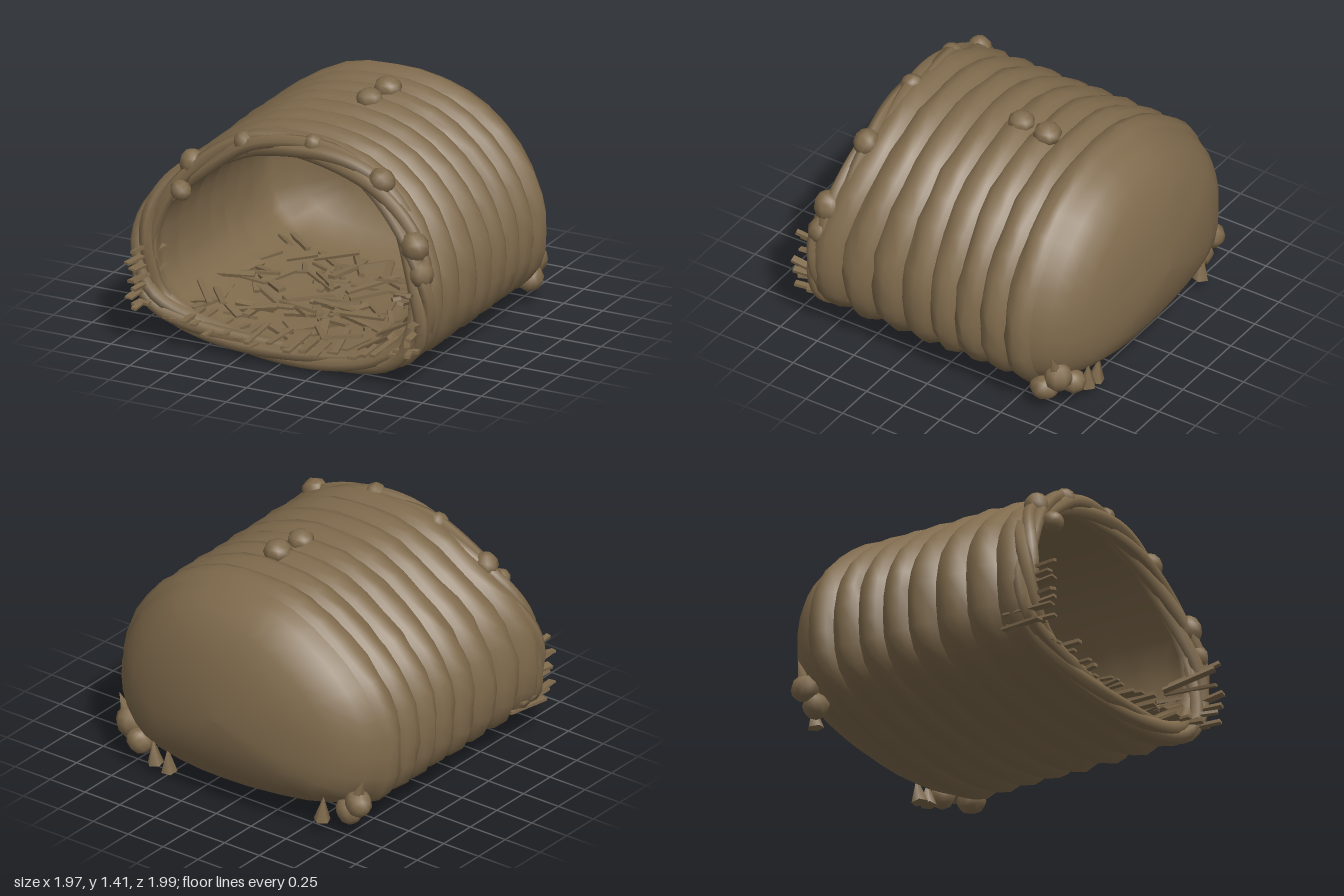
import * as THREE from 'three';

const brown = new THREE.MeshStandardMaterial({ color: 0x7f6a4c });
brown.name = 'dry brown';
brown.side = THREE.DoubleSide;

// Small seeded random
let seed = 7;
const rnd = (a = 0, b = 1) => {
  seed = (seed * 16807) % 2147483647;
  return a + (b - a) * (seed / 2147483647);
};

// Cross-section of the basket, counterclockwise from the front
const CY = 0.6, N = 36;
const outline = new THREE.CatmullRomCurve3([
  [0.98, 0.5], [0.95, 0.72], [0.82, 0.98], [0.58, 1.21], [0.3, 1.33], [0, 1.36], [-0.3, 1.32],
  [-0.6, 1.15], [-0.82, 0.96], [-0.94, 0.75], [-0.97, 0.5], [-0.91, 0.26], [-0.7, 0.13],
  [-0.3, 0.05], [0.1, 0.025], [0.5, 0.05], [0.8, 0.14], [0.94, 0.3],
].map(([x, y]) => new THREE.Vector3(x, y, 0)), true);

// Point on the section at parameter t, scale s, depth z; the mouth leans back at the top
function place(t, s, z) {
  const p = outline.getPoint(((t % 1) + 1) % 1);
  const y = CY + (p.y - CY) * s;
  const lean = 0.13 * (1 - THREE.MathUtils.smoothstep(y, 0.55, 1.3));
  const k = THREE.MathUtils.clamp((z - 0.1) / 0.55, 0, 1);
  return new THREE.Vector3(p.x * s, y, z + lean * k);
}

// Skin over rings [z, scale] running from front to back
function loft(rings, inward = false, wobble = 0) {
  const pos = [], idx = [];
  for (const [z, s] of rings) {
    for (let j = 0; j < N; j++) {
      const w = rnd(-wobble, wobble);
      const p = place(j / N, s + w, z + w * 0.8);
      pos.push(p.x, p.y, p.z);
    }
  }
  for (let i = 0; i < rings.length - 1; i++) {
    for (let j = 0; j < N; j++) {
      const a = i * N + j, b = i * N + (j + 1) % N, c = a + N, d = b + N;
      if (inward) idx.push(a, b, c, b, d, c);
      else idx.push(a, c, b, b, c, d);
    }
  }
  const g = new THREE.BufferGeometry();
  g.setAttribute('position', new THREE.Float32BufferAttribute(pos, 3));
  g.setIndex(idx);
  g.computeVertexNormals();
  return g;
}

export function createModel() {
  seed = 7;
  const model = new THREE.Group();
  model.name = 'wovenNest';
  const add = (geo, name, parent = model) => {
    const m = new THREE.Mesh(geo, brown);
    m.name = name;
    parent.add(m);
    return m;
  };
  const group = (name) => {
    const g = new THREE.Group();
    g.name = name;
    model.add(g);
    return g;
  };

  // Overlapping hoops of the outer wall
  const hoops = group('hoops');
  for (let i = 0; i < 8; i++) {
    const z = 0.61 - i * 0.168;
    add(loft([[z + 0.09, 0.945], [z + 0.055, 0.985], [z, 1.005], [z - 0.05, 0.98], [z - 0.095, 0.94]],
      false, 0.007), 'hoop', hoops);
  }

  // Rounded back
  add(loft([[-0.58, 0.97], [-0.66, 0.945], [-0.74, 0.895], [-0.81, 0.82], [-0.88, 0.71],
    [-0.94, 0.53], [-0.98, 0.3], [-0.995, 0.12], [-1, 0.001]], false, 0.0), 'backDome');

  // Hollow inside with soft ridges, closed at the back
  const inner = [[0.68, 0.95], [0.68, 0.84]];
  for (let i = 0; i < 15; i++) inner.push([0.62 - i * 0.084, i % 2 ? 0.88 : 0.85]);
  inner.push([-0.66, 0.85], [-0.78, 0.72], [-0.86, 0.5], [-0.9, 0.25], [-0.91, 0.001]);
  add(loft(inner, true, 0.004), 'innerWall');

  // Twisted sticks around the mouth
  const rim = group('rim');
  for (let k = 0; k < 4; k++) {
    const pts = [];
    for (let i = 0; i < 30; i++) {
      const t = i / 30, a = t * Math.PI * 6 + k * Math.PI / 2;
      pts.push(place(t, 0.915 + 0.045 * Math.cos(a), 0.675 + 0.035 * Math.sin(a)));
    }
    const path = new THREE.CatmullRomCurve3(pts, true);
    add(new THREE.TubeGeometry(path, 72, 0.042, 6, true), 'rimStick', rim);
  }

  // Rounded knots: [x, y, z, radius]
  const knots = group('knots');
  [
    [-0.63, 1.09, 0.71, 0.075], [-0.3, 1.26, 0.68, 0.07], [0.13, 1.33, 0.67, 0.06],
    [0.58, 1.19, 0.69, 0.075], [0.84, 0.86, 0.78, 0.085], [0.89, 0.71, 0.8, 0.075],
    [-0.64, 0.96, 0.83, 0.06],
    [0.13, 1.35, -0.25, 0.085], [0.11, 1.345, -0.06, 0.08],
    [0.8, 0.25, -0.76, 0.085], [0.7, 0.17, -0.8, 0.075], [0.82, 0.16, -0.68, 0.08],
    [-0.82, 0.24, -0.74, 0.08], [-0.74, 0.16, -0.72, 0.08],
  ].forEach(([x, y, z, r], i) => {
    const m = add(new THREE.SphereGeometry(r, 8, 6), 'knot', knots);
    m.position.set(x, y, z);
    m.scale.set(1, y > 1.34 ? 0.8 : 1.1, 1);
    m.rotation.set(0, i, y > 1.34 ? 0 : i * 0.7);
  });

  // Broken bark flakes at the lower back corners
  const flakes = group('flakes');
  for (const [x, y, z] of [[0.58, 0.15, -0.82], [0.48, 0.13, -0.82], [0.84, 0.34, -0.76],
    [-0.62, 0.17, -0.81], [-0.84, 0.33, -0.75]]) {
    const m = add(new THREE.ConeGeometry(0.05, 0.16, 5), 'flake', flakes);
    m.position.set(x, y, z);
    m.rotation.set(-0.4, x * 3, x * 0.6);
  }

  // Flat straws, laid from a centre point with yaw, pitch and roll
  const straws = group('straw');
  function straw(x, y, z, len, yaw, pitch, roll, name, w = rnd(0.025, 0.05)) {
    const m = add(new THREE.BoxGeometry(w, rnd(0.012, 0.022), len), name, straws);
    m.position.set(x, y, z);
    m.rotation.set(pitch, yaw, roll, 'YXZ');
  }
  const floorY = (x) => 0.125 + 0.17 * x * x;

  // Bedding on the floor
  for (let i = 0; i < 110; i++) {
    const x = rnd(-0.66, 0.66), z = rnd(-0.5, 0.72);
    straw(x, floorY(x) + rnd(0, 0.05), z, rnd(0.16, 0.34), rnd(-1.5, 1.5),
      rnd(-0.15, 0.15), rnd(-0.3, 0.3) + x * 0.3, 'beddingStraw');
  }
  // Fringe sticking out of the mouth
  for (let i = 0; i < 24; i++) {
    const x = -0.88 + i * 0.0765 + rnd(-0.03, 0.03), tip = rnd(0.87, 0.98);
    straw(x, floorY(x) - 0.02 + rnd(0, 0.05), tip - 0.14, 0.28, rnd(-0.15, 0.15) + x * 0.15,
      rnd(-0.12, 0.12), 0, 'fringeStraw');
  }
  // Bundles at both sides of the mouth
  for (let i = 0; i < 7; i++) {
    const h = 0.25 + i * 0.055;
    straw(-0.87 + rnd(-0.03, 0.05), h, 0.83, 0.32, rnd(-0.35, 0.05), rnd(-0.12, 0.1), rnd(-0.3, 0.3), 'leftBundle');
    straw(0.84 + rnd(-0.06, 0.06), h, 0.82, 0.32, rnd(0.1, 0.5), rnd(-0.35, 0), rnd(-0.3, 0.3), 'rightBundle');
  }
  // Loose straws leaning against the wall on one side
  for (let i = 0; i < 7; i++) {
    straw(0.55 + i * 0.045, 0.2 + i * 0.04, 0.72 - (i % 3) * 0.06, 0.28, 1.1 + rnd(-0.3, 0.3),
      -0.5 + rnd(-0.3, 0.2), 0.2, 'leaningStraw');
  }
  return model;
}
